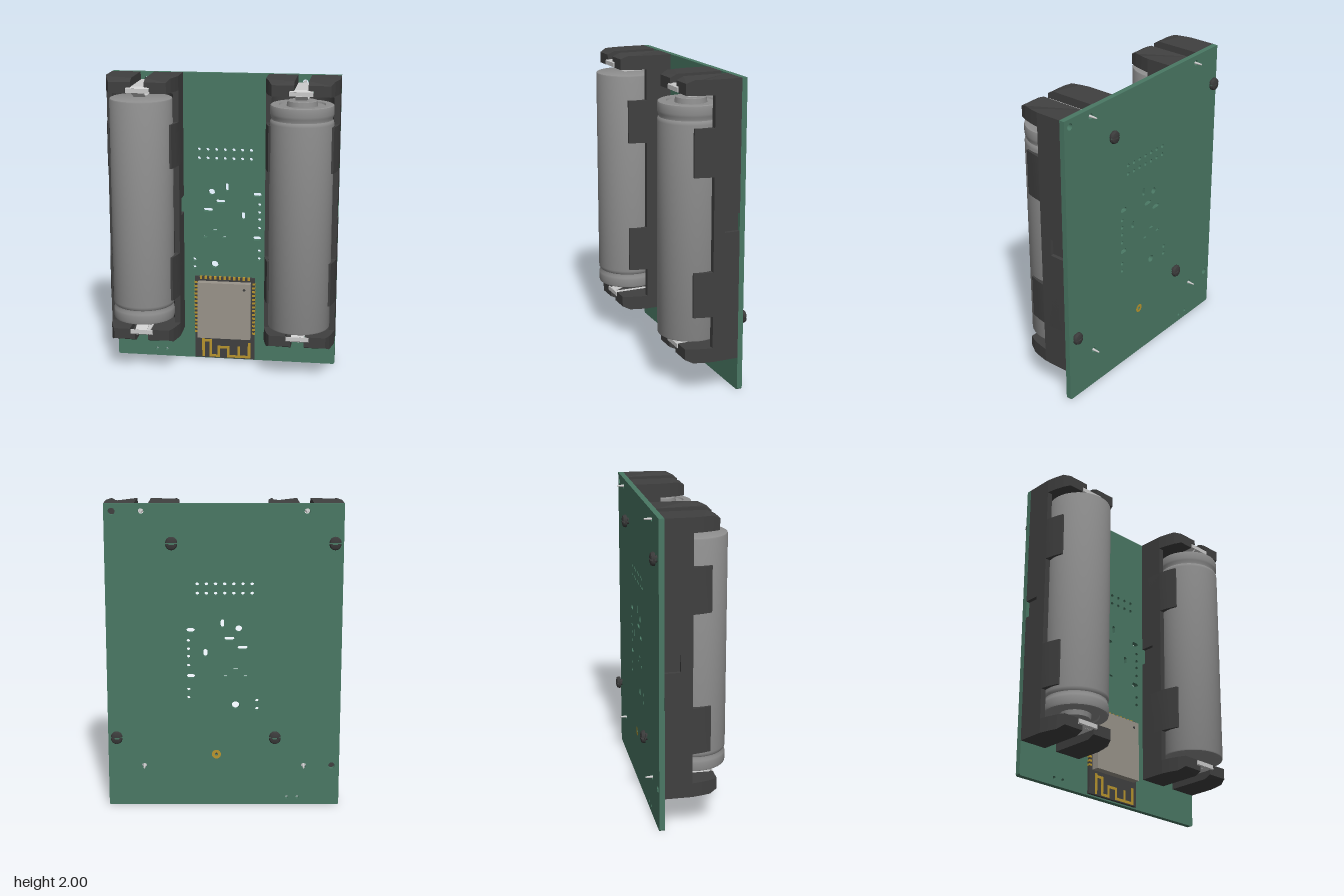
import * as THREE from 'three';
import { toCreasedNormals } from 'three/addons/utils/BufferGeometryUtils.js';

const mat = (color, side = THREE.FrontSide) => new THREE.MeshStandardMaterial({ color, side });
const GREEN = mat(0x4a7864), BLACK = mat(0x404040), CELL = mat(0x8e8e8e), METAL = mat(0xcccccc);
const GOLD = mat(0xb8952e), SHIELD = mat(0x9a948a), PEG = mat(0x3a3a3a, THREE.DoubleSide);

function add(parent, name, geometry, material, x = 0, y = 0, z = 0) {
  const m = new THREE.Mesh(geometry, material);
  m.name = name;
  m.position.set(x, y, z);
  parent.add(m);
  return m;
}

// Box given by its limits
function box(parent, name, material, x0, x1, y0, y1, z0, z1) {
  return add(parent, name, new THREE.BoxGeometry(x1 - x0, y1 - y0, z1 - z0), material,
    (x0 + x1) / 2, (y0 + y1) / 2, (z0 + z1) / 2);
}

// Prism with an [x, z] outline between two heights
function prism(points, y0, y1) {
  const shape = new THREE.Shape(points.map(([x, z]) => new THREE.Vector2(x, -z)));
  const g = new THREE.ExtrudeGeometry(shape, { depth: y1 - y0, bevelEnabled: false });
  return g.rotateX(-Math.PI / 2).translate(0, y0, 0);
}

const lathe = (pts, seg, len = Math.PI * 2) => toCreasedNormals(
  new THREE.LatheGeometry(pts.map(p => new THREE.Vector2(...p)), seg, 0, len), 0.5);

// Capsule-shaped or round hole
function slot(cx, cy, w, h = w) {
  const r = Math.min(w, h) / 2, dx = w / 2 - r, dy = h / 2 - r, p = new THREE.Path();
  if (dx >= dy) {
    p.absarc(cx + dx, cy, r, -Math.PI / 2, Math.PI / 2);
    p.absarc(cx - dx, cy, r, Math.PI / 2, Math.PI * 1.5);
  } else {
    p.absarc(cx, cy + dy, r, 0, Math.PI);
    p.absarc(cx, cy - dy, r, Math.PI, Math.PI * 2);
  }
  p.closePath();
  return p;
}

function buildBoard() {
  const s = new THREE.Shape(), w = 0.76, r = 0.015;
  s.moveTo(-w + r, 0).lineTo(w - r, 0).quadraticCurveTo(w, 0, w, r).lineTo(w, 2)
    .lineTo(-w, 2).lineTo(-w, r).quadraticCurveTo(-w, 0, -w + r, 0);
  const holes = [
    [0.01, 1.23, 0.022, 0.055], [-0.095, 1.195, 0.044], [-0.035, 1.13, 0.065, 0.025],
    [-0.12, 1.07, 0.065, 0.025], [0.12, 1.035, 0.026, 0.052], [0.215, 1.185, 0.055, 0.028],
    [0.215, 0.88, 0.055, 0.028], [-0.075, 0.93, 0.036, 0.012], [-0.14, 0.88, 0.03, 0.012],
    [-0.01, 0.88, 0.03, 0.012], [-0.215, 0.715, 0.025], [-0.215, 0.66, 0.025],
    [-0.075, 0.685, 0.05], [-0.485, 0.05, 0.022], [-0.415, 0.05, 0.022], [0.05, 0.35, 0.02],
    [0.71, 1.95, 0.044], [-0.71, 0.27, 0.044],
  ];
  for (const y of [1.115, 1.06, 1.01, 0.95, 0.79, 0.735]) holes.push([0.23, y, 0.024]);
  for (let i = 0; i < 7; i++) for (const y of [1.425, 1.485]) holes.push([-0.18 + i * 0.0585, y, 0.024]);
  for (const x of [-0.525, 0.525]) for (const y of [0.27, 1.95]) holes.push([x, y, 0.036]);
  s.holes = holes.map(h => slot(...h));
  return new THREE.ExtrudeGeometry(s, { depth: 0.035, bevelEnabled: false, curveSegments: 8 }).translate(0, 0, -0.21);
}

const OUTER = [[0.2375, -0.175], [0.2375, 0], [0.226, 0.06], [0.209, 0.12], [0.187, 0.167]];

// Cradle section: outer wall up to a given z, hollowed by the cell's round seat
function cradle(top, notch) {
  const R = 0.207, zc = 0.05, side = [];
  if (notch) side.push([0.213, -0.175], [0.213, -0.075], [0.2375, -0.075]);
  else side.push(OUTER[0]);
  side.push(OUTER[1]);
  if (top > 0) side.push(OUTER[2], [0.209, top]);
  const pts = [...side], a = Math.asin((top - zc) / R);
  for (let i = 0; i <= 32; i++) {
    const t = a - (Math.PI + 2 * a) * i / 32;
    pts.push([R * Math.cos(t), zc + R * Math.sin(t)]);
  }
  return [...pts, ...side.reverse().map(([x, z]) => [-x, z])];
}

// Bent metal strip through [y, z, width] points
function strip(parent, name, pts, t) {
  for (let i = 1; i < pts.length; i++) {
    const [y0, z0] = pts[i - 1], [y1, z1, w] = pts[i];
    const g = new THREE.BoxGeometry(w, Math.hypot(y1 - y0, z1 - z0) + t * 0.5, t);
    add(parent, name, g, METAL, 0, (y0 + y1) / 2, (z0 + z1) / 2).rotation.x = Math.atan2(z1 - z0, y1 - y0);
  }
}

// One holder with its cell, centred on its own middle height
function buildHolder() {
  const unit = new THREE.Group();
  const wall = (y0, y1, top, notch) =>
    add(unit, 'holderCradle', toCreasedNormals(prism(cradle(top, notch), y0, y1), 0.4), BLACK);
  wall(-0.77, -0.055, 0);
  wall(-0.055, 0.06, 0, true);
  wall(0.06, 0.77, 0);
  wall(0.3, 0.6, 0.12);
  wall(-0.59, -0.3, 0.12);

  // Ends: split blocks, floor, bent contact and solder pin, the same at both ends
  for (const flip of [0, Math.PI]) {
    const end = new THREE.Group();
    end.name = 'holderEnd';
    end.rotation.z = flip;
    unit.add(end);
    for (const s of [-1, 1]) {
      const block = (inner, y0, y1) => {
        const pts = [...OUTER, [inner, 0.167], [inner, 0.12], [inner, -0.175]].map(([x, z]) => [x * s, z]);
        return prism(pts, y0, y1);
      };
      const cap = block(0.045, 0.835, 0.89), p = cap.attributes.position;
      for (let i = 0; i < p.count; i++) if (p.getZ(i) > 0.14 && p.getY(i) > 0.86) p.setY(i, 0.868);
      cap.computeVertexNormals();
      add(end, 'endBlock', cap, BLACK);
      add(end, 'endBlockInner', block(0.08, 0.797, 0.835), BLACK);
      const lim = (a, b) => s > 0 ? [a, b] : [-b, -a];
      box(end, 'endWall', BLACK, ...lim(0.2, 0.2375), 0.77, 0.8, -0.175, 0);
      box(end, 'endFloor', BLACK, ...lim(0.09, 0.2), 0.77, 0.8, -0.175, -0.13);
    }
    strip(end, 'contact', [[0.835, -0.17], [0.835, 0.15, 0.085], [0.825, 0.167, 0.15],
      [0.802, 0.167, 0.15], [0.765, 0.08, 0.08], [0.765, -0.08, 0.08]], 0.008);
    const pin = new THREE.CylinderGeometry(0.011, 0.005, 0.085, 12).rotateX(Math.PI / 2);
    add(end, 'contactPin', pin, METAL, 0, 0.84, -0.2125);
  }

  // Cell with crimp groove and raised button at the top
  const cell = [[0, -0.755], [0.195, -0.755], [0.202, -0.752], [0.205, -0.745], [0.205, 0.615],
    [0.203, 0.63], [0.196, 0.64], [0.196, 0.65], [0.203, 0.665], [0.205, 0.68], [0.205, 0.72],
    [0.202, 0.731], [0.195, 0.735], [0.15, 0.735], [0.145, 0.725], [0.1, 0.725], [0.095, 0.757],
    [0.09, 0.76], [0, 0.76]];
  add(unit, 'batteryCell', lathe(cell, 64), CELL, 0, 0, 0.05);

  // Split snap pegs behind the board
  const peg = [[0, 0], [0.018, 0], [0.018, 0.05], [0.036, 0.055], [0.038, 0.064], [0.032, 0.078], [0.018, 0.083], [0, 0.084]];
  for (const [x, y] of [[-0.19, 0.64], [0.18, -0.64]]) for (const s of [1, -1]) {
    const g = lathe(peg, 16, Math.PI).rotateZ(Math.PI / 2).rotateY(-Math.PI / 2);
    // Turn each half so that its flat side faces the horizontal slit
    g.computeBoundingBox();
    if (g.boundingBox.max.x - g.boundingBox.min.x < 0.06) g.rotateZ(Math.PI / 2);
    g.computeBoundingBox();
    if ((g.boundingBox.max.y > 0.02) !== (s > 0)) g.rotateZ(Math.PI);
    g.computeBoundingBox();
    if (g.boundingBox.max.z > 0.01) g.rotateY(Math.PI);
    add(unit, 'snapPeg', g, PEG, x, y + s * 0.005, -0.17);
  }
  return unit;
}

function buildRadioModule() {
  const g = new THREE.Group();
  g.name = 'radioModule';
  box(g, 'moduleBase', BLACK, -0.21, 0.205, 0.01, 0.6, -0.175, -0.157);
  box(g, 'moduleShield', SHIELD, -0.185, 0.18, 0.17, 0.57, -0.157, -0.107);
  add(g, 'shieldDot', new THREE.CylinderGeometry(0.009, 0.009, 0.003, 16).rotateX(Math.PI / 2), BLACK, 0.137, 0.53, -0.107);
  for (let i = 0; i < 14; i++) {
    const y = 0.2 + i * 0.0275;
    for (const x of [-0.2025, 0.1975]) box(g, 'edgePad', GOLD, x - 0.01, x + 0.01, y - 0.007, y + 0.007, -0.174, -0.155);
  }
  for (let i = 0; i < 11; i++) {
    const x = -0.168 + i * 0.033;
    box(g, 'edgePad', GOLD, x - 0.008, x + 0.008, 0.582, 0.602, -0.174, -0.155);
  }
  // Meandering antenna trace
  const lines = [[[-0.152, 0.145], [-0.152, 0.025]],
    [[-0.152, 0.135], [-0.1, 0.135], [-0.1, 0.025], [-0.045, 0.025], [-0.045, 0.09], [0.022, 0.09],
      [0.022, 0.025], [0.097, 0.025], [0.097, 0.09]], [[0.097, 0.025], [0.168, 0.025], [0.168, 0.12]]];
  for (const line of lines) for (let i = 1; i < line.length; i++) {
    const [a, b] = [line[i - 1], line[i]], t = 0.009;
    box(g, 'antennaTrace', GOLD, Math.min(a[0], b[0]) - t, Math.max(a[0], b[0]) + t,
      Math.min(a[1], b[1]) - t, Math.max(a[1], b[1]) + t, -0.157, -0.155);
  }
  return g;
}

export function createModel() {
  const model = new THREE.Group();
  add(model, 'circuitBoard', buildBoard(), GREEN);
  // The second holder is the first one turned upside down
  for (const [name, x, turn] of [['leftHolder', 0.523, 0], ['rightHolder', -0.523, Math.PI]]) {
    const h = buildHolder();
    h.name = name;
    h.position.set(x, 1.11, 0);
    h.rotation.z = turn;
    model.add(h);
  }
  model.add(buildRadioModule());
  add(model, 'groundPad', new THREE.RingGeometry(0.01, 0.03, 24).rotateY(Math.PI), GOLD, 0.05, 0.35, -0.2115);
  return model;
}
